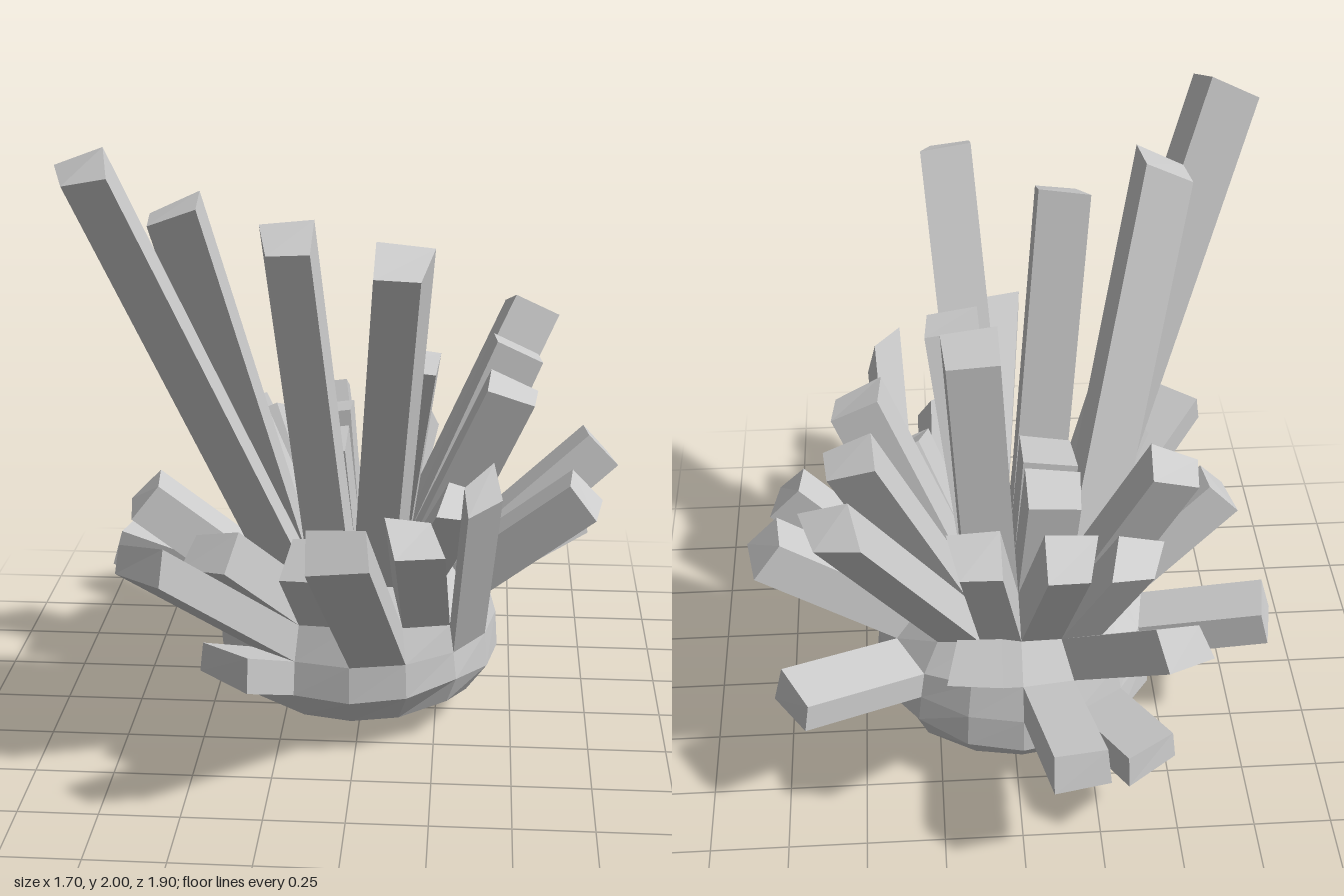
import * as THREE from 'three';

const CENTRE = new THREE.Vector3(-0.015, 0.33, -0.1);

// Cap centres of the crown crystals, one per top cell: rows run back to front, cells left to right in x
const CROWN = [
  [[-0.37, 0.9, -0.45], [-0.155, 0.98, -0.53], [0.125, 0.98, -0.5], [0.55, 1.24, -0.66]],
  [[-0.5, 1.11, -0.27], [-0.13, 1, -0.215], [0.12, 1.48, -0.125], [0.5, 1.2, -0.28]],
  [[-0.52, 1.8, 0.4], [-0.13, 0.97, 0.025], [0.165, 1.32, 0.27], [0.48, 1.17, 0.07]],
  [[-0.735, 1.96, 0.62], [-0.19, 1.72, 0.4], [0.155, 1.73, 0.7], [0.34, 0.85, 0.25]],
];

// Side crystals: cell across and up the side (-0.75 to 0.75), then the cap centre
const SIDES = [
  {
    name: 'frontCrystal',
    toCube: (u, v) => [u, v, 1],
    spikes: [
      [-0.75, 0.75, -0.43, 0.76, 0.47],
      [-0.25, 0.75, -0.13, 0.73, 0.44],
      [0.75, 0.75, 0.19, 0.84, 0.52],
      [-0.75, 0.25, -0.63, 0.76, 0.57],
      [0.25, 0.25, -0.01, 0.96, 0.91],
      [-0.75, -0.25, -0.38, 0.43, 0.57],
    ],
  },
  {
    name: 'backCrystal',
    toCube: (u, v) => [u, v, -1],
    spikes: [
      [-0.75, 0.75, -0.48, 0.81, -0.75],
      [0.25, 0.75, 0.14, 0.8, -0.77],
      [-0.25, 0.25, -0.165, 0.48, -0.92],
      [-0.75, -0.25, -0.4, 0.35, -0.76],
    ],
  },
  {
    name: 'leftCrystal',
    toCube: (u, v) => [1, v, u],
    spikes: [
      [-0.25, 0.75, 0.78, 0.87, -0.28],
      [0.25, 0.75, 0.72, 0.82, 0.06],
      [-0.75, 0.25, 0.71, 0.5, -0.59],
      [0.75, 0.25, 0.39, 1.02, 0.58],
    ],
  },
  {
    name: 'rightCrystal',
    toCube: (u, v) => [-1, v, u],
    spikes: [
      [0.25, 0.75, -0.7, 0.78, 0.045],
      [-0.25, 0.25, -0.83, 0.49, -0.26],
    ],
  },
];

// Maps a point on a cube to the rock surface: a squashed sphere, fuller towards the bottom
function cubeToRock(x, y, z) {
  const v = new THREE.Vector3(...[x, y, z].map((t) => Math.tan((t * Math.PI) / 4))).normalize();
  const radius = 0.46 * (1 + 0.26 * Math.max(0, -v.y));
  return v.multiply(new THREE.Vector3(radius, 0.32, radius));
}

// Faceted rock from a cube grid
function createRock(material) {
  const geometry = new THREE.BoxGeometry(2, 2, 2, 4, 4, 4).toNonIndexed();
  const p = geometry.attributes.position;
  for (let i = 0; i < p.count; i++) {
    p.setXYZ(i, ...cubeToRock(p.getX(i), p.getY(i), p.getZ(i)).toArray());
  }
  geometry.computeVertexNormals();
  const rock = new THREE.Mesh(geometry, material);
  rock.name = 'rockBase';
  rock.position.copy(CENTRE);
  return rock;
}

// Prism swept from one rock cell to its cap, keeping the outline of the cell
function createSpike(name, toCube, u, v, tip, material) {
  const h = 0.25;
  const base = [[-h, -h], [h, -h], [h, h], [-h, h]].map(([du, dv]) =>
    cubeToRock(...toCube(u + du, v + dv)).add(CENTRE));
  const middle = base.reduce((sum, p) => sum.add(p), new THREE.Vector3()).divideScalar(4);
  const sweep = new THREE.Vector3(...tip).sub(middle);

  // Corners must run anticlockwise as seen from the cap
  const normal = base[2].clone().sub(base[0]).cross(base[3].clone().sub(base[1]));
  if (normal.dot(sweep) < 0) base.reverse();
  const cap = base.map((p) => p.clone().add(sweep));

  const points = [];
  const quad = (a, b, c, d) => points.push(a, b, c, a, c, d);
  quad(...cap);
  for (let i = 0; i < 4; i++) {
    const j = (i + 1) % 4;
    quad(base[i], base[j], cap[j], cap[i]);
  }
  const geometry = new THREE.BufferGeometry().setFromPoints(points);
  geometry.computeVertexNormals();
  const spike = new THREE.Mesh(geometry, material);
  spike.name = name;
  return spike;
}

export function createModel() {
  const material = new THREE.MeshStandardMaterial({ color: 0xcccccc, flatShading: true });
  const group = new THREE.Group();
  group.name = 'crystalCluster';
  group.add(createRock(material));

  // Crown crystals, one on each of the 4 x 4 top cells
  const toTop = (u, v) => [u, 1, v];
  CROWN.forEach((row, j) => {
    row.forEach((tip, i) => {
      group.add(createSpike('crownCrystal', toTop, -0.75 + i * 0.5, -0.75 + j * 0.5, tip, material));
    });
  });

  // Crystals around the sides
  for (const { name, toCube, spikes } of SIDES) {
    for (const [u, v, ...tip] of spikes) {
      group.add(createSpike(name, toCube, u, v, tip, material));
    }
  }
  return group;
}
